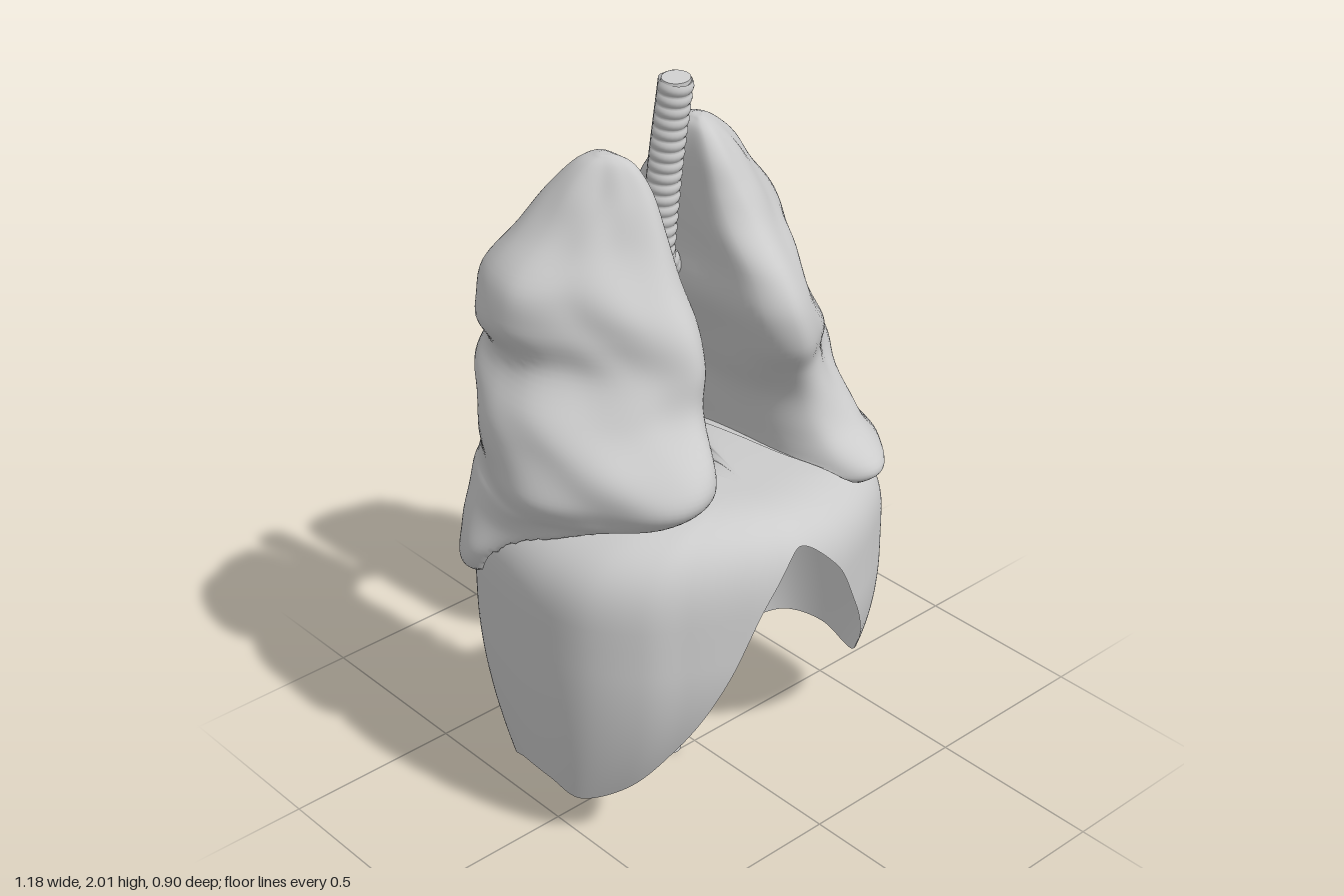
import * as THREE from 'three';

const V = (x, y, z) => new THREE.Vector3(x, y, z);
const material = new THREE.MeshStandardMaterial({ color: 0xcccccc, side: THREE.DoubleSide });

// Surface from closed loops, listed from top to bottom, counter-clockwise from above
function loopSurface(loops, flip = false) {
  const n = loops[0].length;
  const index = [];
  for (let i = 0; i < loops.length - 1; i++) {
    for (let j = 0; j < n; j++) {
      const a = i * n + j, b = i * n + (j + 1) % n, c = a + n, d = b + n;
      if (flip) index.push(a, b, c, b, d, c);
      else index.push(a, c, b, b, c, d);
    }
  }
  const geo = new THREE.BufferGeometry().setFromPoints(loops.flat());
  geo.setIndex(index);
  geo.computeVertexNormals();
  return geo;
}

function addMesh(group, name, geo) {
  const mesh = new THREE.Mesh(geo, material);
  mesh.name = name;
  group.add(mesh);
  return mesh;
}

// Diaphragm rim: x, z and the height of the lower edge, starting at the front
const rim = new THREE.CatmullRomCurve3([
  [-0.05, 0.475, 0.88], [0.08, 0.455, 0.78], [0.2, 0.415, 0.58], [0.33, 0.35, 0.36], [0.44, 0.27, 0.22],
  [0.505, 0.17, 0.17], [0.525, 0, 0.18], [0.5, -0.17, 0.17], [0.42, -0.32, 0.13], [0.3, -0.385, 0.18],
  [0.2, -0.33, 0.34], [0.13, -0.2, 0.45], [0.075, -0.12, 0.36], [0.056, -0.085, 0.21], [0.042, -0.08, 0.2],
  [0.04, -0.078, 0.46], [0, -0.075, 0.57], [-0.05, -0.078, 0.5], [-0.068, -0.08, 0.18], [-0.07, -0.08, 0.01],
  [-0.092, -0.082, 0], [-0.106, -0.095, 0.18], [-0.14, -0.17, 0.33], [-0.21, -0.33, 0.39], [-0.3, -0.385, 0.27],
  [-0.42, -0.38, 0.14], [-0.53, -0.27, 0.13], [-0.575, -0.1, 0.18], [-0.58, 0.05, 0.18], [-0.55, 0.19, 0.14],
  [-0.46, 0.31, 0.19], [-0.36, 0.37, 0.34], [-0.25, 0.42, 0.57], [-0.15, 0.455, 0.78],
].map(([x, z, y]) => V(x, y, z)), true).getPoints(340).slice(0, 340);
const cx = -0.02, cz = 0.22, shoulder = 0.7;
const roofTop = x => 0.95 - 0.04 * Math.tanh(x * 4);
const rimAngles = rim.map(p => Math.atan2(p.z - cz, p.x - cx));

// Height of the dome under a point, falling away steeply outside its wall
function domeHeight(x, z) {
  const angle = Math.atan2(z - cz, x - cx);
  let best = 0, gap = 9;
  rimAngles.forEach((a, i) => {
    const d = Math.abs(Math.atan2(Math.sin(a - angle), Math.cos(a - angle)));
    if (d < gap) { gap = d; best = i; }
  });
  const s = Math.hypot(x - cx, z - cz) / Math.hypot(rim[best].x - cx, rim[best].z - cz);
  return shoulder + 0.01 + (s < 1 ? (roofTop(x) - shoulder) * Math.cbrt(1 - s ** 3) : (1 - s) * 1.5);
}

function diaphragmGeometry() {
  const roofRows = 40, wallRows = 24, loops = [];
  for (let i = 0; i <= roofRows + wallRows; i++) {
    loops.push(rim.map(p => {
      const cut = Math.max(0, (p.y - shoulder) / (roofTop(p.x) - shoulder));
      const phi = Math.acos(Math.pow(Math.min(1, cut), 1.5)) * Math.min(1, i / roofRows);
      const r = Math.pow(Math.sin(phi), 2 / 3);
      const x = cx + (p.x - cx) * r, z = cz + (p.z - cz) * r;
      let y = shoulder + (roofTop(x) - shoulder) * Math.pow(Math.max(0, Math.cos(phi)), 2 / 3);
      if (i > roofRows) y += (Math.min(p.y, shoulder) - shoulder) * (i - roofRows) / wallRows;
      // The wall tucks in towards its lower edge, the central strands curve forward
      const low = Math.pow(Math.max(0, 0.6 - y) / 0.45, 2);
      const strand = 0.04 * low * Math.exp(-((x / 0.12) ** 2));
      return V(x * (1 - 0.06 * low), y, z * (1 - (z > 0 ? 0.36 : 0.3) * low) + strand);
    }));
  }
  const geo = loopSurface(loops);
  // Two openings: one through the roof, one through the rear wall
  const pos = geo.attributes.position;
  const openings = [
    { c: [-0.09, 0.045], r: [0.042, 0.042], get: i => [pos.getX(i), pos.getZ(i)], ok: i => pos.getY(i) > 0.8,
      set: (i, x, z) => { pos.setX(i, x); pos.setZ(i, z); } },
    { c: [0.02, 0.78], r: [0.027, 0.045], get: i => [pos.getX(i), pos.getY(i)], ok: i => pos.getZ(i) < 0.1,
      set: (i, x, y) => { pos.setX(i, x); pos.setY(i, y); } },
  ];
  for (const { c, r, get, ok, set } of openings) {
    const offset = i => get(i).map((v, k) => (v - c[k]) / r[k]);
    const inside = Array.from({ length: pos.count }, (_, i) => ok(i) && Math.hypot(...offset(i)) < 1);
    const old = Array.from(geo.index.array), kept = [];
    for (let t = 0; t < old.length; t += 3) {
      const tri = old.slice(t, t + 3);
      if (!tri.every(i => inside[i])) kept.push(...tri);
    }
    geo.setIndex(kept);
    for (let i = 0; i < pos.count; i++) {
      if (!inside[i]) continue;
      const [u, v] = offset(i), d = Math.hypot(u, v) || 1;
      set(i, c[0] + r[0] * u / d, c[1] + r[1] * v / d);
    }
  }
  geo.computeVertexNormals();
  return geo;
}

// Lung plans: u runs from inner to outer side, v from back to front
const lungPlan = points => new THREE.CatmullRomCurve3(points.map(([u, v]) => V(u, 0, v)), true).getPoints(84).slice(0, 84);
const upperPlan = lungPlan([
  [0, 0.6], [0.02, 0.9], [0.2, 1], [0.48, 0.91], [0.77, 0.7], [0.98, 0.45],
  [0.96, 0.22], [0.8, 0.06], [0.52, 0], [0.25, 0.02], [0.07, 0.13], [0.01, 0.33]]);
const lowerPlan = lungPlan([
  [0, 0.52], [0.03, 0.78], [0.18, 0.95], [0.38, 1], [0.64, 0.94], [0.87, 0.78],
  [1, 0.55], [0.92, 0.3], [0.71, 0.1], [0.42, 0], [0.15, 0.03], [0.02, 0.2]]);

// Rows: y, inner x, outer x, back z, front z
function lungGeometry(side, rows, phase) {
  const a = new THREE.CatmullRomCurve3(rows.map(r => V(r[0], r[1], r[2])), false, 'catmullrom');
  const b = new THREE.CatmullRomCurve3(rows.map(r => V(r[3], r[4], 0)), false, 'catmullrom');
  const steps = 90, loops = [];
  const loop = (t, k) => {
    const { x: y, y: x0, z: x1 } = a.getPoint(t), { x: z0, y: z1 } = b.getPoint(t);
    const mx = (x0 + x1) / 2, mz = (z0 + z1) / 2;
    const blend = 1 - THREE.MathUtils.smoothstep(y, 1.02, 1.35);
    const fade = Math.min(1, t * 8, (1 - t) * 6 + 0.1);
    return upperPlan.map((p, i) => {
      const { x: u, z: v } = p.clone().lerp(lowerPlan[i], blend);
      const th = Math.atan2(v - 0.5, u - 0.5);
      const bump = 0.05 * Math.sin(17 * y + phase) * Math.sin(3 * th + phase)
        + 0.035 * Math.sin(25 * y + 2 * phase) * Math.cos(5 * th + phase)
        + 0.02 * Math.sin(33 * y) * Math.cos(2 * th);
      // Keep the side facing the windpipe smooth
      const f = k * (1 + fade * bump * Math.min(1, 0.25 + u));
      const x = side * (mx + (x0 + u * (x1 - x0) - mx) * f);
      const z = mz + (z0 + v * (z1 - z0) - mz) * f;
      return V(x, y < 1 ? Math.max(y, domeHeight(x, z)) : y, z);
    });
  };
  for (const k of [0, 0.5]) loops.push(loop(0, k));
  for (let i = 0; i <= steps; i++) loops.push(loop(i / steps, 1));
  for (const k of [0.96, 0.92, 0.88, 0.84, 0.7, 0.5, 0.3, 0]) loops.push(loop(1, k));
  return loopSurface(loops, side < 0);
}

// Tube with rounded cartilage rings along its length, flattened behind
function ringedTube(points, radius, rings) {
  const curve = new THREE.CatmullRomCurve3(points);
  const steps = rings * 8, sides = 24;
  const geo = new THREE.TubeGeometry(curve, steps, radius, sides);
  const pos = geo.attributes.position, v = new THREE.Vector3();
  for (let i = 0; i < pos.count; i++) {
    const t = Math.floor(i / (sides + 1)) / steps;
    const c = curve.getPointAt(t);
    v.fromBufferAttribute(pos, i).sub(c);
    const front = v.z > -0.4 * radius;
    v.multiplyScalar(front ? 0.9 + 0.12 * Math.abs(Math.sin(Math.PI * rings * t)) : 0.9);
    v.z = Math.max(v.z, -0.7 * radius);
    pos.setXYZ(i, c.x + v.x, c.y + v.y, c.z + v.z);
  }
  geo.computeVertexNormals();
  return geo;
}

export function createModel() {
  const model = new THREE.Group();
  model.name = 'respiratoryOrgans';

  addMesh(model, 'leftLung', lungGeometry(1, [
    [1.845, 0.09, 0.12, -0.12, -0.08], [1.82, 0.065, 0.17, -0.18, -0.03], [1.76, 0.05, 0.24, -0.24, 0.02],
    [1.68, 0.045, 0.31, -0.29, 0.06], [1.6, 0.045, 0.37, -0.35, 0.11], [1.5, 0.045, 0.39, -0.38, 0.2],
    [1.4, 0.04, 0.4, -0.4, 0.26], [1.3, 0.07, 0.45, -0.4, 0.26], [1.2, 0.11, 0.48, -0.4, 0.22],
    [1.1, 0.15, 0.49, -0.42, 0.21], [1, 0.17, 0.5, -0.42, 0.26], [0.92, 0.18, 0.54, -0.425, 0.335],
    [0.87, 0.17, 0.56, -0.43, 0.31], [0.8, 0.16, 0.575, -0.43, 0.18], [0.74, 0.15, 0.575, -0.43, 0.07],
    [0.68, 0.15, 0.565, -0.43, -0.04], [0.645, 0.18, 0.53, -0.41, -0.12],
  ], 0.6));

  addMesh(model, 'rightLung', lungGeometry(-1, [
    [1.815, 0.17, 0.2, -0.14, -0.1], [1.79, 0.135, 0.24, -0.2, -0.05], [1.72, 0.11, 0.3, -0.26, 0],
    [1.62, 0.1, 0.38, -0.32, 0.05], [1.52, 0.1, 0.475, -0.37, 0.11], [1.42, 0.09, 0.485, -0.4, 0.17],
    [1.32, 0.1, 0.46, -0.4, 0.21], [1.22, 0.11, 0.53, -0.41, 0.24], [1.12, 0.12, 0.555, -0.42, 0.31],
    [1.04, 0.12, 0.555, -0.43, 0.33], [0.98, 0.13, 0.55, -0.435, 0.28], [0.94, 0.14, 0.56, -0.435, 0.19],
    [0.86, 0.14, 0.575, -0.435, 0.06], [0.79, 0.14, 0.58, -0.435, -0.02], [0.73, 0.16, 0.575, -0.43, -0.08],
    [0.69, 0.2, 0.54, -0.41, -0.14],
  ], 2.4));

  addMesh(model, 'diaphragm', diaphragmGeometry());

  // Windpipe with its closed upper end and two main branches
  addMesh(model, 'trachea', ringedTube([V(-0.03, 1.995, -0.035), V(-0.03, 1.75, -0.078), V(-0.03, 1.5, -0.11)], 0.047, 16));
  const cap = addMesh(model, 'tracheaEnd', new THREE.CylinderGeometry(0.04, 0.042, 0.01, 24));
  cap.position.set(-0.03, 1.994, -0.033);
  cap.rotation.x = 0.17;
  cap.scale.z = 0.8;
  addMesh(model, 'leftBronchus', ringedTube([V(-0.03, 1.53, -0.1), V(0.02, 1.46, -0.12), V(0.12, 1.37, -0.15)], 0.031, 7));
  addMesh(model, 'rightBronchus', ringedTube([V(-0.03, 1.53, -0.1), V(-0.07, 1.45, -0.12), V(-0.15, 1.36, -0.15)], 0.031, 7));

  // Fine twigs beside the right lung
  [[V(-0.15, 1.22, -0.06), V(-0.1, 1.13, -0.01), V(-0.08, 1.04, 0.02)],
    [V(-0.12, 1.17, -0.03), V(-0.1, 1.14, -0.02), V(-0.07, 1.11, -0.02)]].forEach(path =>
    addMesh(model, 'smallAirway', new THREE.TubeGeometry(new THREE.CatmullRomCurve3(path), 12, 0.007, 8)));

  return model;
}
